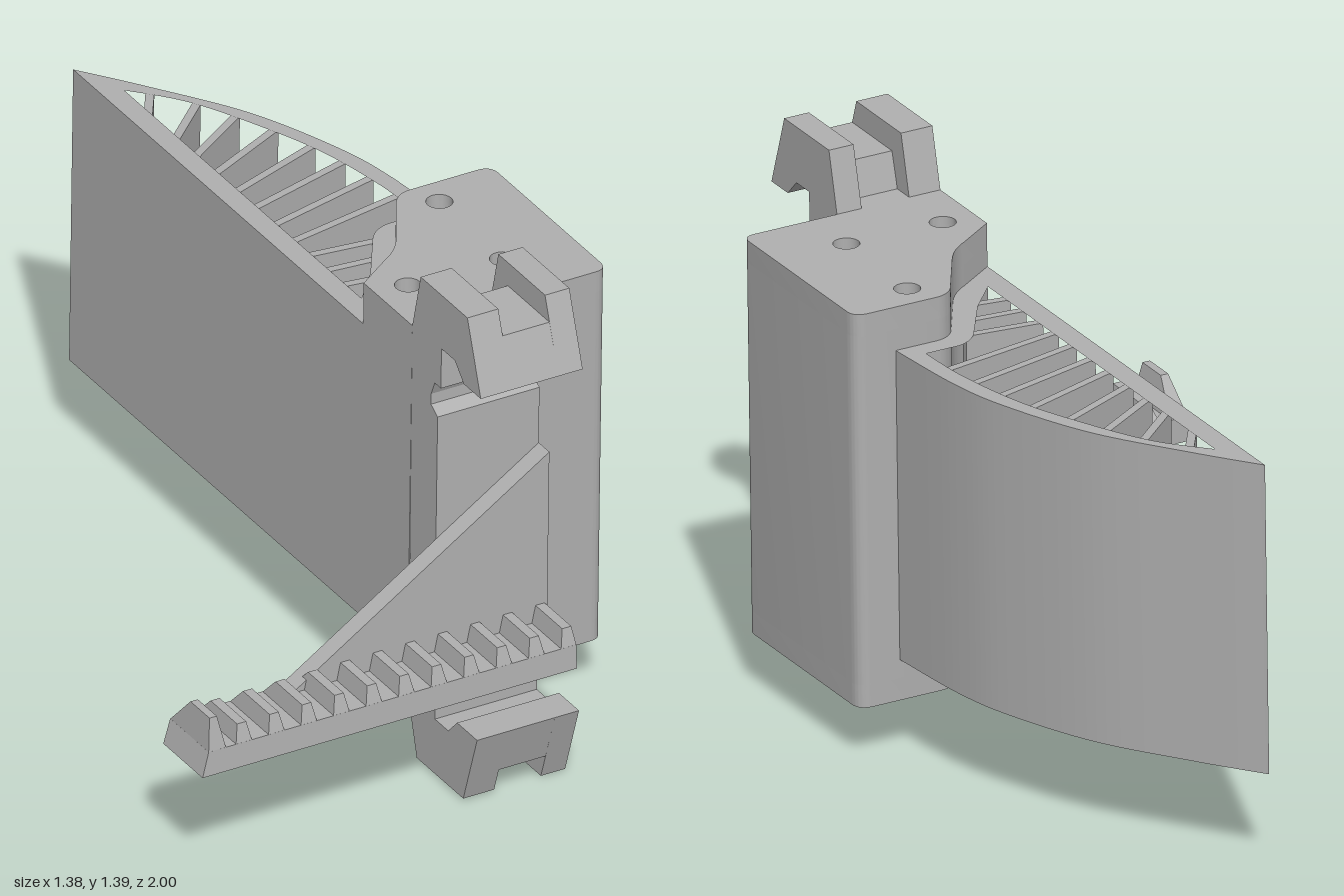
import * as THREE from 'three';
import { toCreasedNormals } from 'three/addons/utils/BufferGeometryUtils.js';

const grey = new THREE.MeshStandardMaterial({ color: 0xb0b0b0 });
grey.name = 'grey plastic';

const V2 = (pts, sx, sy) => pts.map(([a, b]) => new THREE.Vector2(a * sx, b * sy));

// Plan outline (x, z) raised from y0 to y1
function plan(shape, y0, y1) {
  const g = new THREE.ExtrudeGeometry(shape, { depth: y1 - y0, bevelEnabled: false, curveSegments: 12 });
  g.rotateX(-Math.PI / 2).translate(0, y0, 0);
  return toCreasedNormals(g, 0.5);
}

// Side outline (z, y) extruded from x0 to x1
function side(pts, x0, x1) {
  const g = new THREE.ExtrudeGeometry(new THREE.Shape(V2(pts, -1, 1)), { depth: x1 - x0, bevelEnabled: false });
  return g.rotateY(Math.PI / 2).translate(x0, 0, 0);
}

// Tapered tooth: each range is [min, max], bottom and top rectangles differ
function tooth(bx, bz, tx, tz, y0, y1) {
  const g = new THREE.BoxGeometry(1, 1, 1).toNonIndexed();
  const p = g.attributes.position;
  for (let i = 0; i < p.count; i++) {
    const top = p.getY(i) > 0;
    const rx = top ? tx : bx, rz = top ? tz : bz;
    p.setXYZ(i, rx[p.getX(i) > 0 ? 1 : 0], top ? y1 : y0, rz[p.getZ(i) > 0 ? 1 : 0]);
  }
  g.computeVertexNormals();
  return g;
}

export function createModel() {
  const model = new THREE.Group();
  model.name = 'rackBracket';
  const body = new THREE.Group();
  body.name = 'body';
  model.add(body);
  const add = (name, geo) => {
    const m = new THREE.Mesh(geo, grey);
    m.name = name;
    body.add(m);
    return m;
  };

  // Clip bracket: hooked side profile, with a slot cut into both hook backs
  const front = [
    [0.99, 1.19], [0.907, 1.19], [0.862, 1.235], [0.797, 1.235], [0.797, 1.12], [0.767, 1.12],
    [0.75, 1.08], [0.75, 1.05], [0.783, 1.03], [0.783, 0.35], [0.752, 0.345], [0.745, 0.31],
    [0.752, 0.27], [0.79, 0.27], [0.79, 0.16], [0.855, 0.16], [0.897, 0.205], [0.995, 0.205],
  ];
  const prong = [[0.705, 0.004], [0.66, 0.16], [0.655, 1.228], [0.692, 1.388], [0.92, 1.388]];
  const core = [[0.953, 0.072], [0.745, 0.072], [0.72, 0.16], [0.655, 0.16], [0.655, 1.228],
    [0.715, 1.228], [0.74, 1.322], [0.943, 1.322]];
  add('leftClip', side([...front, [0.932, 0.004], ...prong], 0.333, 0.403));
  add('rightClip', side([...front, [0.932, 0.004], ...prong], 0.109, 0.198));
  add('clipCore', side([...front, ...core], 0.198, 0.333));

  // Mounting block with rounded corners and a curved inner side
  const blockShape = () => {
    const s = new THREE.Shape();
    s.moveTo(0.109, -0.655);
    s.lineTo(0.637, -0.655);
    s.quadraticCurveTo(0.672, -0.655, 0.672, -0.62);
    s.lineTo(0.672, -0.125);
    s.quadraticCurveTo(0.672, -0.085, 0.632, -0.085);
    s.lineTo(0.44, -0.085);
    s.quadraticCurveTo(0.395, -0.085, 0.37, -0.135);
    s.lineTo(0.29, -0.27);
    s.quadraticCurveTo(0.26, -0.32, 0.215, -0.345);
    s.lineTo(0.109, -0.418);
    s.closePath();
    return s;
  };
  const drilled = blockShape();
  for (const [x, z] of [[0.474, 0.17], [0.2, 0.48], [0.47, 0.487]]) {
    const hole = new THREE.Path();
    hole.absarc(x, -z, 0.034, 0, Math.PI * 2, true);
    drilled.holes.push(hole);
  }
  add('block', plan(blockShape(), 0.22, 1.168));
  add('blockTop', plan(drilled, 1.168, 1.228));
  add('blockBottom', plan(drilled, 0.16, 0.22));

  // Curved fin: hollow frame open above and below
  const y0 = 0.27, y1 = 1.11;
  const fin = new THREE.Shape();
  fin.moveTo(0.109, 0.997);
  fin.splineThru(V2([[0.23, -0.833], [0.385, -0.6], [0.489, -0.348], [0.532, -0.163], [0.556, 0.09]], 1, -1));
  fin.lineTo(0.556, -0.2);
  fin.lineTo(0.3, -0.45);
  fin.lineTo(0.109, -0.6);
  fin.closePath();
  const opening = new THREE.Path();
  opening.moveTo(0.168, 0.848);
  opening.splineThru(V2([[0.283, -0.712], [0.387, -0.5], [0.449, -0.33], [0.489, -0.13], [0.5, 0.03]], 1, -1));
  opening.lineTo(0.41, -0.03);
  opening.quadraticCurveTo(0.365, -0.035, 0.336, -0.08);
  opening.lineTo(0.25, -0.215);
  opening.lineTo(0.168, -0.31);
  opening.closePath();
  fin.holes.push(opening);
  add('finFrame', plan(fin, y0, y1));

  // Fanned slats inside the fin: wall z, far end x and z
  const slats = [
    [-0.71, 0.22, -0.81], [-0.58, 0.292, -0.705], [-0.485, 0.35, -0.61], [-0.39, 0.4, -0.505],
    [-0.29, 0.44, -0.39], [-0.2, 0.465, -0.285], [-0.105, 0.487, -0.185], [-0.015, 0.502, -0.078],
    [0.06, 0.36, 0.085], [0.145, 0.31, 0.16], [0.225, 0.255, 0.24],
  ];
  for (const [za, xb, zb] of slats) {
    const xa = 0.155, len = Math.hypot(xb - xa, zb - za);
    const m = add('finSlat', new THREE.BoxGeometry(len, y1 - y0 - 0.004, 0.022));
    m.position.set((xa + xb) / 2, (y0 + y1) / 2, (za + zb) / 2);
    m.rotation.y = Math.atan2(za - zb, xb - xa);
  }

  // Toothed arm
  add('arm', tooth([-0.677, 0.403], [0.79, 0.982], [-0.658, 0.403], [0.79, 0.978], 0.32, 0.387));
  for (let i = 0; i < 11; i++) {
    const c = -0.556 + i * 0.0938;
    add('tooth', tooth([c - 0.023, Math.min(c + 0.023, 0.403)], [0.79, 0.978],
      [c - 0.013, c + 0.013], [0.835, 0.965], 0.386, 0.436));
  }
  add('endTooth', tooth([-0.658, -0.608], [0.79, 0.978], [-0.648, -0.627], [0.87, 0.963], 0.386, 0.475));

  // Triangular gusset bracing the arm
  const gusset = new THREE.Shape(V2([[-0.335, 0.386], [0.403, 0.34], [0.403, 0.87]], 1, 1));
  const gg = new THREE.ExtrudeGeometry(gusset, { depth: 0.052, bevelEnabled: false });
  add('gusset', gg.translate(0, 0, 0.783));

  // Slight overall lean about a point near the middle
  const pivot = new THREE.Vector3(0.2, 0.7, 0.5);
  body.rotation.set(-0.006, -0.0165, -0.0175);
  body.position.copy(pivot).sub(pivot.clone().applyEuler(body.rotation));
  return model;
}
